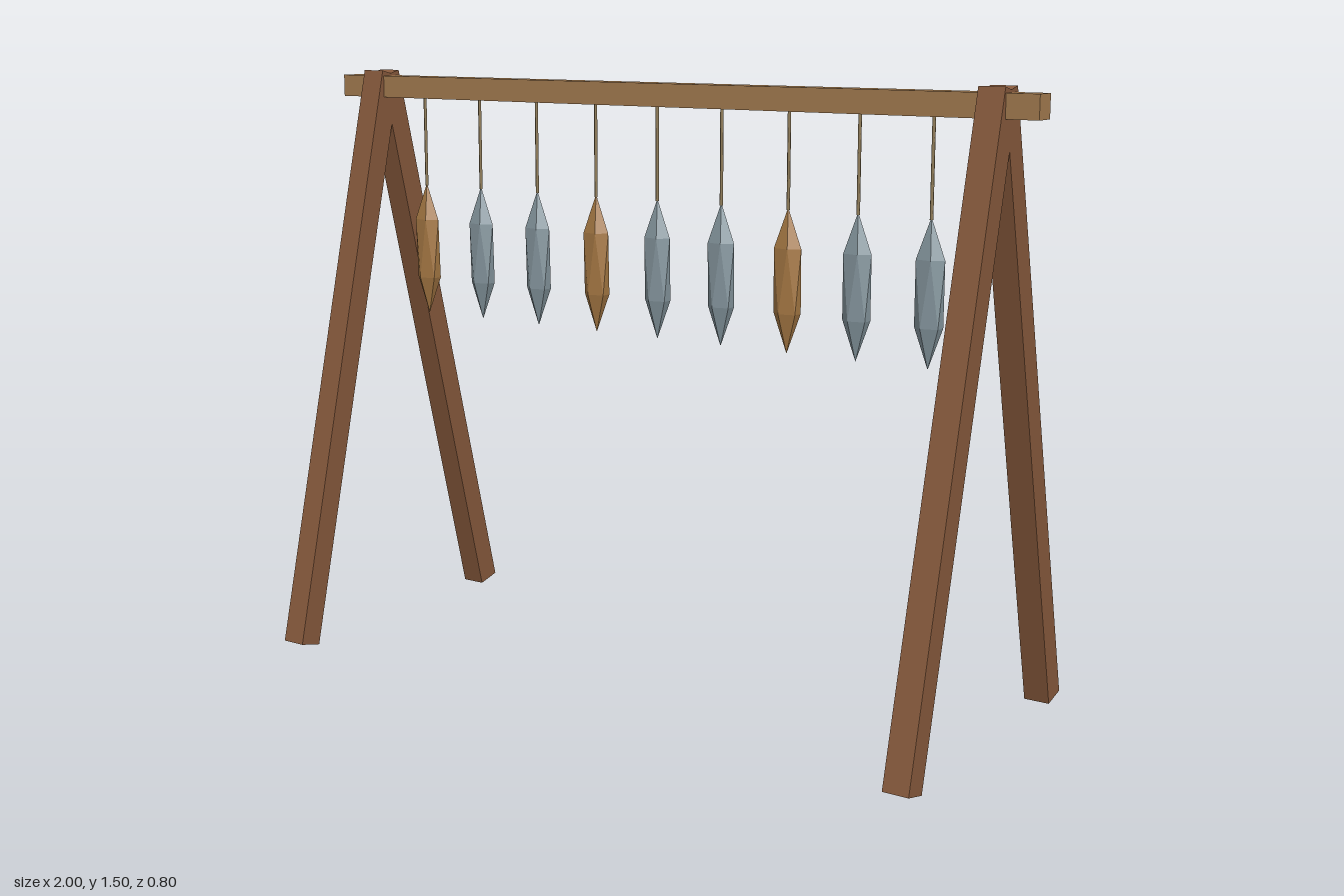
import * as THREE from 'three';

const flat = (name, color) => {
  const m = new THREE.MeshStandardMaterial({ color });
  m.name = name;
  return m;
};

// Pole-aligned, 20-faced gem: two five-sided rings, half a step apart, with a tip at each end
function gemGeometry(rx, ry, rz) {
  const points = [0, 1, 0];
  const faces = [];
  const h = 1 / Math.sqrt(5), r = 2 * h;
  for (const [y, turn] of [[h, 0], [-h, Math.PI / 5]]) {
    for (let i = 0; i < 5; i++) {
      const a = turn + i * Math.PI * 0.4;
      points.push(r * Math.cos(a), y, -r * Math.sin(a));
    }
  }
  points.push(0, -1, 0);
  for (let i = 0; i < 5; i++) {
    const j = (i + 1) % 5;
    const u = 1 + i, v = 1 + j, p = 6 + i, q = 6 + j;
    faces.push(0, u, v, u, p, v, p, q, v, 11, q, p);
  }
  const indexed = new THREE.BufferGeometry();
  indexed.setAttribute('position', new THREE.Float32BufferAttribute(points, 3));
  indexed.setIndex(faces);
  const geometry = indexed.toNonIndexed().scale(rx, ry, rz);
  geometry.computeVertexNormals();
  return geometry;
}

export function createModel() {
  const model = new THREE.Group();
  model.name = 'hangingRack';

  const darkWood = flat('darkWood', 0x875a3c);
  const lightWood = flat('lightWood', 0xa47c50);
  const cord = flat('cord', 0x94805c);
  const slate = flat('slate', 0x8798a0);
  const amber = flat('amber', 0xa87a45);

  const add = (parent, name, geometry, material, x, y, z) => {
    const mesh = new THREE.Mesh(geometry, material);
    mesh.name = name;
    mesh.position.set(x, y, z);
    parent.add(mesh);
    return mesh;
  };

  // Crossbar
  add(model, 'crossbar', new THREE.BoxGeometry(2, 0.056, 0.056), lightWood, 0, 1.457, 0);

  // A-frame at each end, two leaning legs that meet at the crossbar
  const spread = 0.37, rise = 1.483;
  const leg = new THREE.BoxGeometry(0.064, Math.hypot(spread, rise), 0.064);
  for (const side of [-1, 1]) {
    const frame = new THREE.Group();
    frame.name = side > 0 ? 'leftFrame' : 'rightFrame';
    for (const end of [-1, 1]) {
      const mesh = add(frame, end > 0 ? 'frontLeg' : 'backLeg', leg, darkWood,
        side * 0.89, 0.008 + rise / 2, end * spread / 2);
      mesh.rotation.x = -end * Math.atan2(spread, rise);
    }
    model.add(frame);
  }

  // Row of nine pendants on cords, every third one amber
  const gem = gemGeometry(0.041, 0.173, 0.0255);
  const string = new THREE.CylinderGeometry(0.004, 0.004, 0.24, 6);
  for (let i = 0; i < 9; i++) {
    const pendant = new THREE.Group();
    pendant.name = 'pendant' + (i + 1);
    pendant.position.x = (i - 4) * 0.185;
    add(pendant, 'cord', string, cord, 0, 1.32, 0);
    add(pendant, 'gem', gem, i % 3 === 0 ? amber : slate, 0, 1.033, 0);
    model.add(pendant);
  }

  return model;
}
